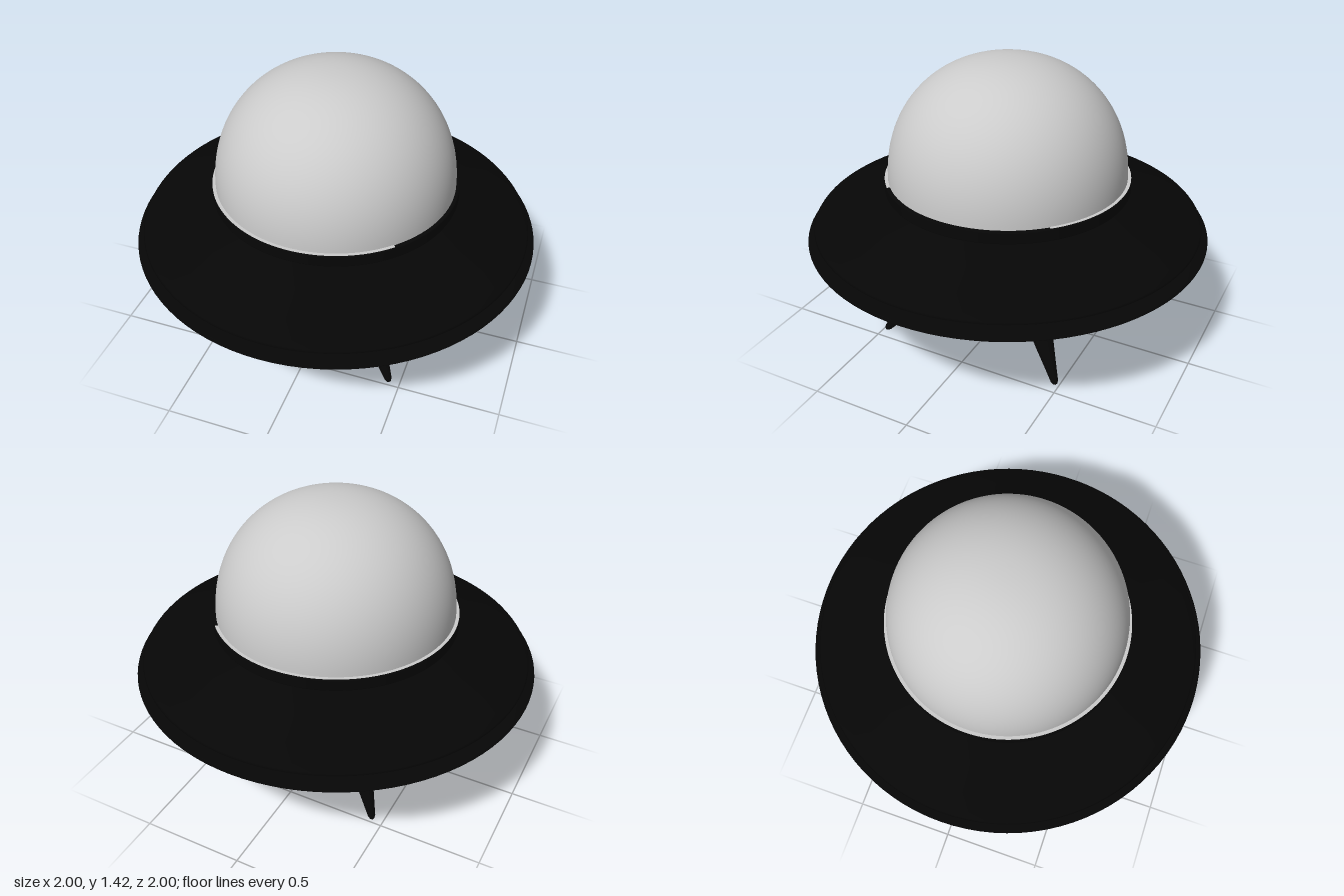
import * as THREE from 'three';

const dark = new THREE.MeshStandardMaterial({ color: 0x060606, side: THREE.DoubleSide });
const grey = new THREE.MeshStandardMaterial({ color: 0xcccccc, side: THREE.DoubleSide });

const pts = (list) => list.map(([x, y]) => new THREE.Vector2(x, y));

function lathe(name, points, material, segments = 96) {
  const mesh = new THREE.Mesh(new THREE.LatheGeometry(points, segments), material);
  mesh.name = name;
  return mesh;
}

// One landing leg: cup under the hull, ball joint and a tapered strut
function makeLeg(sx, sz) {
  const leg = new THREE.Group();
  leg.name = 'landingLeg';
  const hip = new THREE.Vector3(0.29 * sx, 0.21, 0.315 * sz);
  const foot = new THREE.Vector3(0.45 * sx, 0, 0.485 * sz);

  const cup = lathe('hipCup', pts([
    [0, 0.195], [0.074, 0.195], [0.082, 0.205], [0.08, 0.225], [0.074, 0.26], [0.055, 0.295], [0, 0.32],
  ]), dark, 32);
  cup.position.set(hip.x, 0, hip.z);

  const ball = new THREE.Mesh(new THREE.SphereGeometry(0.062, 32, 20), dark);
  ball.name = 'hipBall';
  ball.position.copy(hip);

  const axis = foot.clone().sub(hip);
  const length = axis.length();
  const strut = lathe('strut', pts([
    [0, 0], [0.05, 0], [0.052, 0.2], [0.045, 0.38], [0.033, 0.62],
    [0.022, 0.85], [0.018, 0.94], [0.01, 0.985], [0, 1],
  ]).map((p) => new THREE.Vector2(p.x, p.y * length)), dark, 24);
  strut.position.copy(hip);
  strut.quaternion.setFromUnitVectors(new THREE.Vector3(0, 1, 0), axis.normalize());

  leg.add(cup, ball, strut);
  return leg;
}

export function createModel() {
  const model = new THREE.Group();
  model.name = 'flyingSaucer';

  // Lower hull: bowl-shaped underside flaring to a thin rim
  const bowl = new THREE.SplineCurve(pts([
    [0, 0.187], [0.12, 0.191], [0.22, 0.202], [0.33, 0.222], [0.4, 0.26], [0.5, 0.35],
    [0.6, 0.425], [0.74, 0.483], [0.88, 0.518], [0.985, 0.535],
  ])).getPoints(45);
  model.add(lathe('lowerHull', [
    ...bowl, ...pts([[0.998, 0.539], [1, 0.544], [0.99, 0.55], [0.94, 0.567], [0.88, 0.575], [0.84, 0.577]]),
  ], dark));

  // Recessed band between the two hull plates
  model.add(lathe('gapBand', pts([[0.86, 0.565], [0.86, 0.605]]), dark));

  // Upper hull: shallow cone with a rounded lip
  model.add(lathe('upperHull', pts([
    [0.84, 0.588], [0.93, 0.588], [0.955, 0.592], [0.966, 0.6], [0.96, 0.608],
    [0.93, 0.624], [0.85, 0.659], [0.72, 0.715], [0.6, 0.768], [0.56, 0.78],
  ]), dark));

  // Collar holding the dome
  const collar = new THREE.Shape().absarc(0, 0, 0.603, 0, Math.PI * 2);
  collar.holes.push(new THREE.Path().absarc(0, 0, 0.565, 0, Math.PI * 2, true));
  const collarMesh = new THREE.Mesh(new THREE.ExtrudeGeometry(collar, {
    depth: 0.05, bevelEnabled: true, bevelSize: 0.006, bevelThickness: 0.005, bevelSegments: 2, curveSegments: 96,
  }), dark);
  collarMesh.name = 'collar';
  collarMesh.rotation.x = -Math.PI / 2;
  collarMesh.position.y = 0.773;
  model.add(collarMesh);

  // Pale trim covering three quarters of the collar, open towards +x
  const trim = new THREE.Mesh(
    new THREE.RingGeometry(0.583, 0.607, 96, 1, Math.PI / 4, Math.PI * 1.5), grey);
  trim.name = 'collarTrim';
  trim.rotation.x = -Math.PI / 2;
  trim.position.y = 0.831;
  model.add(trim);

  // Dome: slightly squared-off hemisphere
  const dome = [];
  for (let i = 0; i <= 40; i++) {
    const a = (i / 40) * Math.PI / 2;
    const e = 2 / 2.15;
    dome.push(new THREE.Vector2(
      i === 40 ? 0 : 0.591 * Math.cos(a) ** e, 0.82 + 0.6 * Math.sin(a) ** e));
  }
  model.add(lathe('dome', dome, grey));

  for (const sx of [-1, 1]) for (const sz of [-1, 1]) model.add(makeLeg(sx, sz));
  return model;
}
